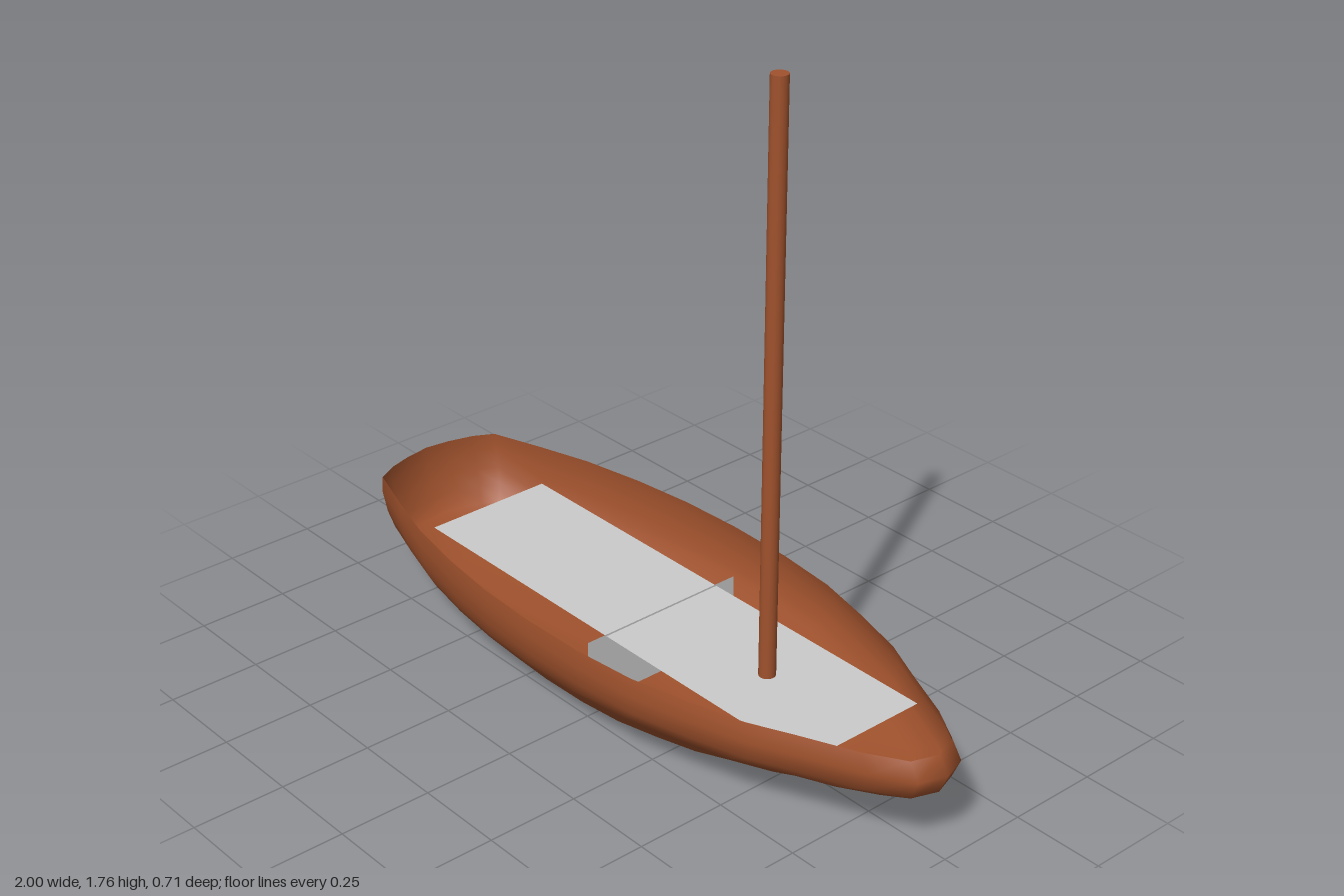
import * as THREE from 'three';

// Half outline of the widest waterline, stern to bow: [x, half width]
const OUTLINE = [
  [-1, 0], [-0.99, 0.07], [-0.97, 0.14], [-0.94, 0.195], [-0.79, 0.245], [-0.64, 0.29],
  [-0.46, 0.325], [-0.28, 0.347], [-0.1, 0.355], [0.1, 0.351], [0.28, 0.333], [0.45, 0.293],
  [0.6, 0.25], [0.72, 0.195], [0.87, 0.13], [0.97, 0.07], [0.995, 0],
];

// Waterlines from the rim down: [height, stern x, bow x, half width]
const LEVELS = [
  [0.275, -1, 0.965, 0.35], [0.23, -1, 0.995, 0.356], [0.175, -0.985, 0.97, 0.348],
  [0.13, -0.965, 0.87, 0.33], [0.09, -0.94, 0.72, 0.3], [0.03, -0.79, 0.6, 0.25],
];
// Shallow dome closing the bottom
for (const s of [0.75, 0.5, 0.25, 0.001]) {
  LEVELS.push([0.03 * s * s, -0.095 - 0.695 * s, -0.095 + 0.695 * s, 0.25 * s]);
}

function hullGeometry() {
  const mirrored = OUTLINE.slice(1, -1).reverse().map(([x, z]) => [x, -z]);
  const loop = [...OUTLINE, ...mirrored];
  const n = loop.length;
  const positions = [];
  const indices = [];
  LEVELS.forEach(([y, stern, bow, half], row) => {
    loop.forEach(([x, z], i) => {
      const t = (x + 1) / 1.995;
      positions.push(stern + (bow - stern) * t, y, (z / 0.355) * half);
      if (row === LEVELS.length - 1) return;
      const a = row * n + i;
      const b = row * n + (i + 1) % n;
      indices.push(a, a + n, b, b, a + n, b + n);
    });
  });
  const geometry = new THREE.BufferGeometry();
  geometry.setAttribute('position', new THREE.Float32BufferAttribute(positions, 3));
  geometry.setIndex(indices);
  geometry.computeVertexNormals();
  return geometry;
}

export function createModel() {
  const model = new THREE.Group();
  model.name = 'boat';
  const wood = new THREE.MeshStandardMaterial({ color: 0xa0522d, side: THREE.DoubleSide });
  const grey = new THREE.MeshStandardMaterial({ color: 0xcccccc, side: THREE.DoubleSide });

  const add = (name, geometry, material, x, y, z) => {
    const mesh = new THREE.Mesh(geometry, material);
    mesh.name = name;
    mesh.position.set(x, y, z);
    model.add(mesh);
    return mesh;
  };

  // Open shell
  add('hull', hullGeometry(), wood, 0, 0, 0);

  // Flat deck inside the hull
  add('deck', new THREE.PlaneGeometry(1.44, 0.37).rotateX(-Math.PI / 2), grey, 0, 0.21, 0);

  // Upright partition across the middle, its top edge just above the deck
  add('bulkhead', new THREE.PlaneGeometry(0.49, 0.185).rotateY(Math.PI / 2), grey, 0, 0.1225, 0);

  // Mast stepped through the deck onto the hull floor
  add('mast', new THREE.CylinderGeometry(0.022, 0.022, 1.74, 16), wood, 0.39, 0.895, 0);

  return model;
}
